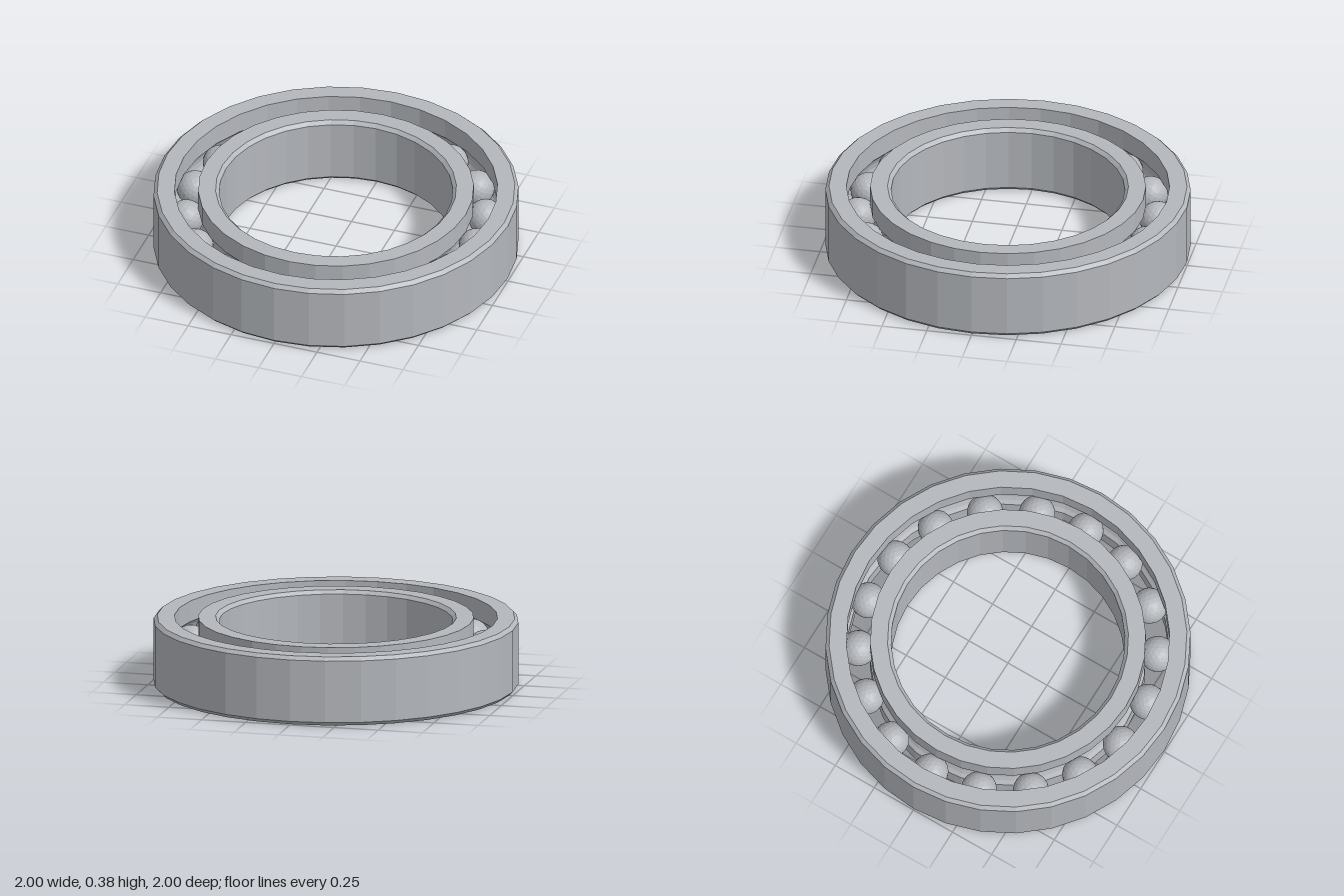
import * as THREE from 'three';

const H = 0.385, MID = H / 2;      // ring height and ball plane
const BEVEL = 0.02;
const PITCH = 0.82, BALL_R = 0.099, BALLS = 18;

const steel = new THREE.MeshStandardMaterial({ color: 0xb4b7bc });
steel.name = 'steel grey';

// Flat facets: unshared vertices with face normals
function faceted(geometry) {
  const g = geometry.index ? geometry.toNonIndexed() : geometry;
  g.computeVertexNormals();
  return g;
}

// Ball groove as arc points; side = 1 cuts the outer ring, -1 the inner one
function groove(wall, side) {
  const r = BALL_R + 0.002;
  const half = Math.acos(Math.abs(wall - PITCH) / r);
  const points = [];
  for (let i = 0; i <= 6; i++) {
    const a = half * (1 - i / 3) * side;
    points.push([PITCH + side * r * Math.cos(a), MID + r * Math.sin(a)]);
  }
  return points;
}

// Closed counterclockwise profile turned around the axis
function ring(name, profile) {
  const points = [...profile, profile[0]].map(([r, y]) => new THREE.Vector2(r, y));
  const mesh = new THREE.Mesh(faceted(new THREE.LatheGeometry(points, 32)), steel);
  mesh.name = name;
  return mesh;
}

export function createModel() {
  const model = new THREE.Group();
  model.name = 'ballBearing';

  // Outer race: bevelled outside, grooved inside
  const outer = 1, outerWall = 0.885;
  model.add(ring('outerRace', [
    [outerWall, 0], [outer - BEVEL, 0], [outer, BEVEL],
    [outer, H - BEVEL], [outer - BEVEL, H], [outerWall, H],
    ...groove(outerWall, 1),
  ]));

  // Inner race: bevelled bore, grooved outside
  const bore = 0.64, innerWall = 0.755;
  model.add(ring('innerRace', [
    [bore + BEVEL, 0], [innerWall, 0],
    ...groove(innerWall, -1),
    [innerWall, H], [bore + BEVEL, H], [bore, H - BEVEL], [bore, BEVEL],
  ]));

  // Balls spaced evenly between the races
  const balls = new THREE.Group();
  balls.name = 'balls';
  const ballGeometry = faceted(new THREE.IcosahedronGeometry(BALL_R, 3));
  for (let i = 0; i < BALLS; i++) {
    const a = (i / BALLS) * Math.PI * 2;
    const ball = new THREE.Mesh(ballGeometry, steel);
    ball.name = 'ball';
    ball.position.set(PITCH * Math.cos(a), MID, PITCH * Math.sin(a));
    ball.rotation.y = -a;
    balls.add(ball);
  }
  model.add(balls);
  return model;
}
